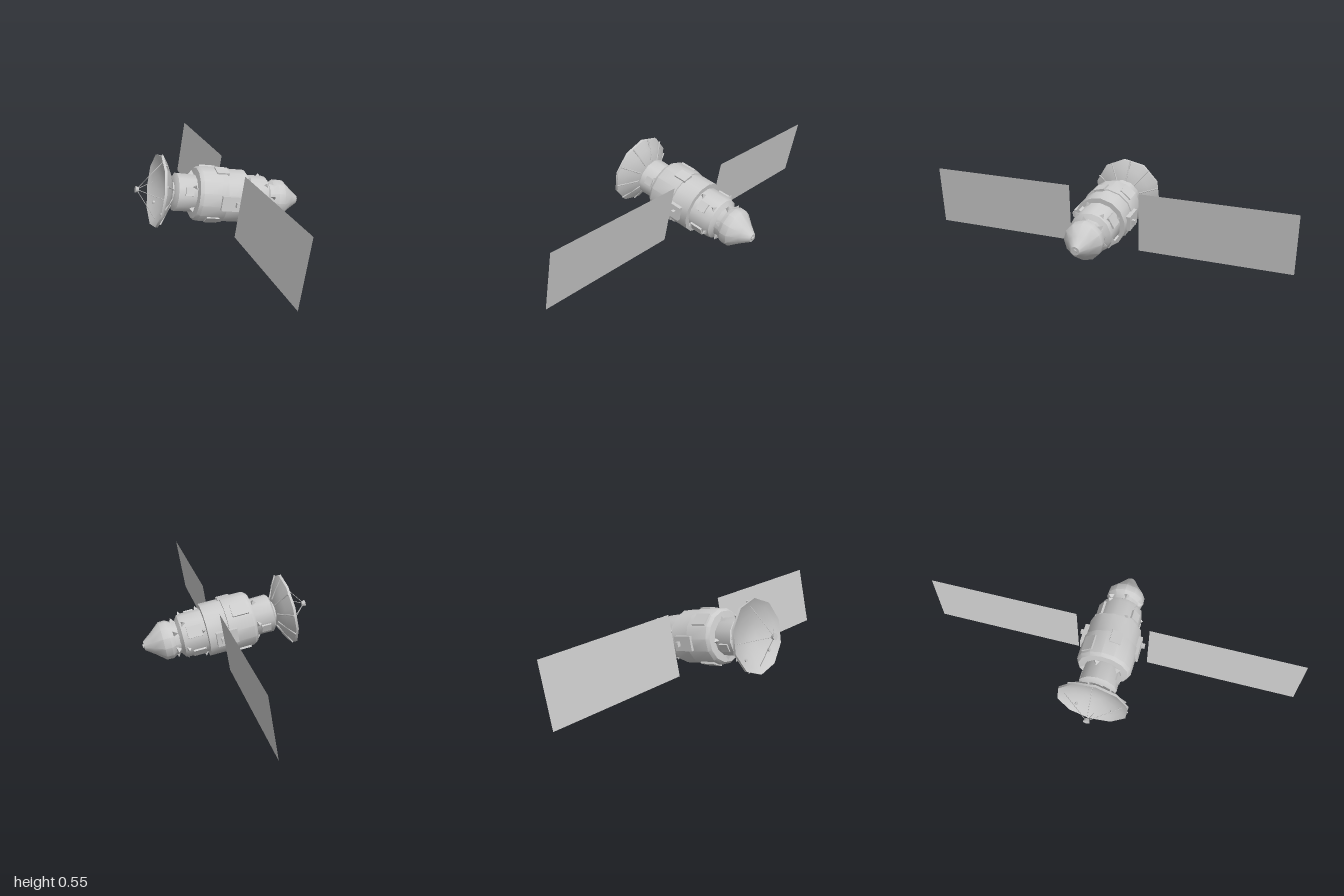
import * as THREE from 'three';
import { toCreasedNormals } from 'three/addons/utils/BufferGeometryUtils.js';

const grey = new THREE.MeshStandardMaterial({ color: 0xcccccc });
const thin = new THREE.MeshStandardMaterial({ color: 0xcccccc, side: THREE.DoubleSide });

export function createModel() {
  const model = new THREE.Group();
  model.name = 'satellite';

  // Local frame: z runs along the hull towards the dish, x along the panels
  const spacecraft = new THREE.Group();
  spacecraft.name = 'spacecraft';
  model.add(spacecraft);
  const axis = new THREE.Vector3(-0.523, 0.186, 0.831).normalize();
  const span = new THREE.Vector3(0.85, 0.048, 0.524);
  const up = new THREE.Vector3().crossVectors(axis, span).normalize();
  span.crossVectors(up, axis).normalize();
  spacecraft.quaternion.setFromRotationMatrix(new THREE.Matrix4().makeBasis(span, up, axis));
  spacecraft.position.y = 0.244;

  const add = (name, geometry, material = grey, parent = spacecraft) => {
    const mesh = new THREE.Mesh(geometry, material);
    mesh.name = name;
    parent.add(mesh);
    return mesh;
  };

  // Turned part: profile of [radius, distance along z]
  const turned = (name, profile, sides, material = grey) => {
    const points = profile.map(([r, z]) => new THREE.Vector2(r, z));
    const geometry = new THREE.LatheGeometry(points, sides, Math.PI / 6).rotateX(Math.PI / 2);
    return add(name, toCreasedNormals(geometry, 0.7), material);
  };

  // Straight rod between two points
  const rod = (name, a, b, radius) => {
    const from = new THREE.Vector3(...a), to = new THREE.Vector3(...b);
    const dir = to.clone().sub(from);
    const mesh = add(name, new THREE.CylinderGeometry(radius, radius, dir.length(), 5));
    mesh.position.copy(from).add(to).multiplyScalar(0.5);
    mesh.quaternion.setFromUnitVectors(new THREE.Vector3(0, 1, 0), dir.normalize());
    return mesh;
  };

  // Part standing on the hull at an angle (degrees) around it
  const onHull = (name, geometry, degrees, radius, z) => {
    const mesh = add(name, geometry);
    const t = THREE.MathUtils.degToRad(degrees);
    mesh.position.set(Math.cos(t) * radius, Math.sin(t) * radius, z);
    mesh.rotation.z = t - Math.PI / 2;
    return mesh;
  };

  // Hull sections from tail to neck
  turned('tailCone', [[0, -0.458], [0.027, -0.458], [0.068, -0.402], [0.118, -0.342],
    [0.12, -0.3], [0.102, -0.27], [0.102, -0.2]], 12);
  turned('rearHull', [[0.1, -0.245], [0.13, -0.225], [0.136, -0.2], [0.136, -0.07]], 14);
  turned('middleHull', [[0.13, -0.08], [0.165, -0.078], [0.165, 0.06]], 14);
  turned('forwardHull', [[0.16, 0.05], [0.172, 0.052], [0.17, 0.205], [0.155, 0.225], [0.1, 0.23]], 14);
  turned('neck', [[0.11, 0.22], [0.115, 0.235], [0.118, 0.345], [0.095, 0.358], [0.07, 0.362], [0.06, 0.385]], 12);
  add('tailPort', new THREE.CylinderGeometry(0.013, 0.013, 0.012, 6).rotateX(Math.PI / 2)).position.z = -0.46;

  // Raised covers on the hull: [angle, radius, z, width, height, length]
  [
    [0, 0.168, 0.03, 0.09, 0.03, 0.13], [180, 0.168, 0.03, 0.09, 0.03, 0.13],
    [75, 0.167, 0.08, 0.07, 0.016, 0.08], [130, 0.166, 0.14, 0.08, 0.018, 0.1],
    [245, 0.166, 0.13, 0.08, 0.018, 0.1], [310, 0.164, 0.12, 0.07, 0.018, 0.08],
    [40, 0.136, -0.14, 0.06, 0.016, 0.06], [150, 0.134, -0.15, 0.07, 0.016, 0.09],
    [215, 0.134, -0.14, 0.06, 0.016, 0.08], [330, 0.134, -0.14, 0.06, 0.016, 0.08],
    [20, 0.112, 0.28, 0.05, 0.02, 0.05], [200, 0.112, 0.29, 0.05, 0.02, 0.06],
  ].forEach(([angle, r, z, w, h, l]) => onHull('hullCover', new THREE.BoxGeometry(w, h, l), angle, r, z));

  // Small pointed fittings in rings around the hull: [count, radius, z, first angle]
  [[6, 0.104, -0.265, 20], [5, 0.131, -0.205, 50], [4, 0.134, -0.1, 65], [5, 0.115, 0.245, 35]]
    .forEach(([count, r, z, first]) => {
      for (let i = 0; i < count; i++) {
        const spike = new THREE.ConeGeometry(0.024, 0.034, 3).toNonIndexed();
        spike.computeVertexNormals();
        onHull('hullFitting', spike, first + i * 360 / count, r + 0.008, z);
      }
    });

  // Solar panels with their hinge knobs
  for (const side of [-1, 1]) {
    const name = side > 0 ? 'left' : 'right';
    add(name + 'SolarPanel', new THREE.PlaneGeometry(0.936, 0.379), thin).position.x = side * 0.694;
    add(name + 'PanelHinge', new THREE.BoxGeometry(0.03, 0.03, 0.02)).position.x = side * 0.19;
  }

  // Dish: concave face, back shell and ribs
  turned('dishFace', [[0, 0.392], [0.06, 0.397], [0.13, 0.417], [0.19, 0.442], [0.222, 0.46]], 10, thin);
  turned('dishBack', [[0.06, 0.372], [0.1, 0.38], [0.165, 0.408], [0.222, 0.445], [0.222, 0.46]], 10, thin);
  for (let i = 0; i < 10; i++) {
    const t = (i * 36 + 24) * Math.PI / 180, c = Math.cos(t), s = Math.sin(t);
    rod('dishRib', [c * 0.09, s * 0.09, 0.374], [c * 0.217, s * 0.217, 0.442], 0.005);
  }

  // Feed horn on four struts
  for (let i = 0; i < 4; i++) {
    const t = i * Math.PI / 2, c = Math.cos(t), s = Math.sin(t);
    rod('feedStrut', [c * 0.18, s * 0.18, 0.437], [c * 0.01, s * 0.01, 0.568], 0.002);
  }
  add('feedHorn', new THREE.CylinderGeometry(0.021, 0.014, 0.02, 8).rotateX(Math.PI / 2)).position.z = 0.572;

  // Small studs on the dish face
  for (const x of [-0.11, 0.11])
    add('dishStud', new THREE.CylinderGeometry(0.01, 0.01, 0.016, 6).rotateX(Math.PI / 2)).position.set(x, -0.11, 0.433);

  return model;
}
